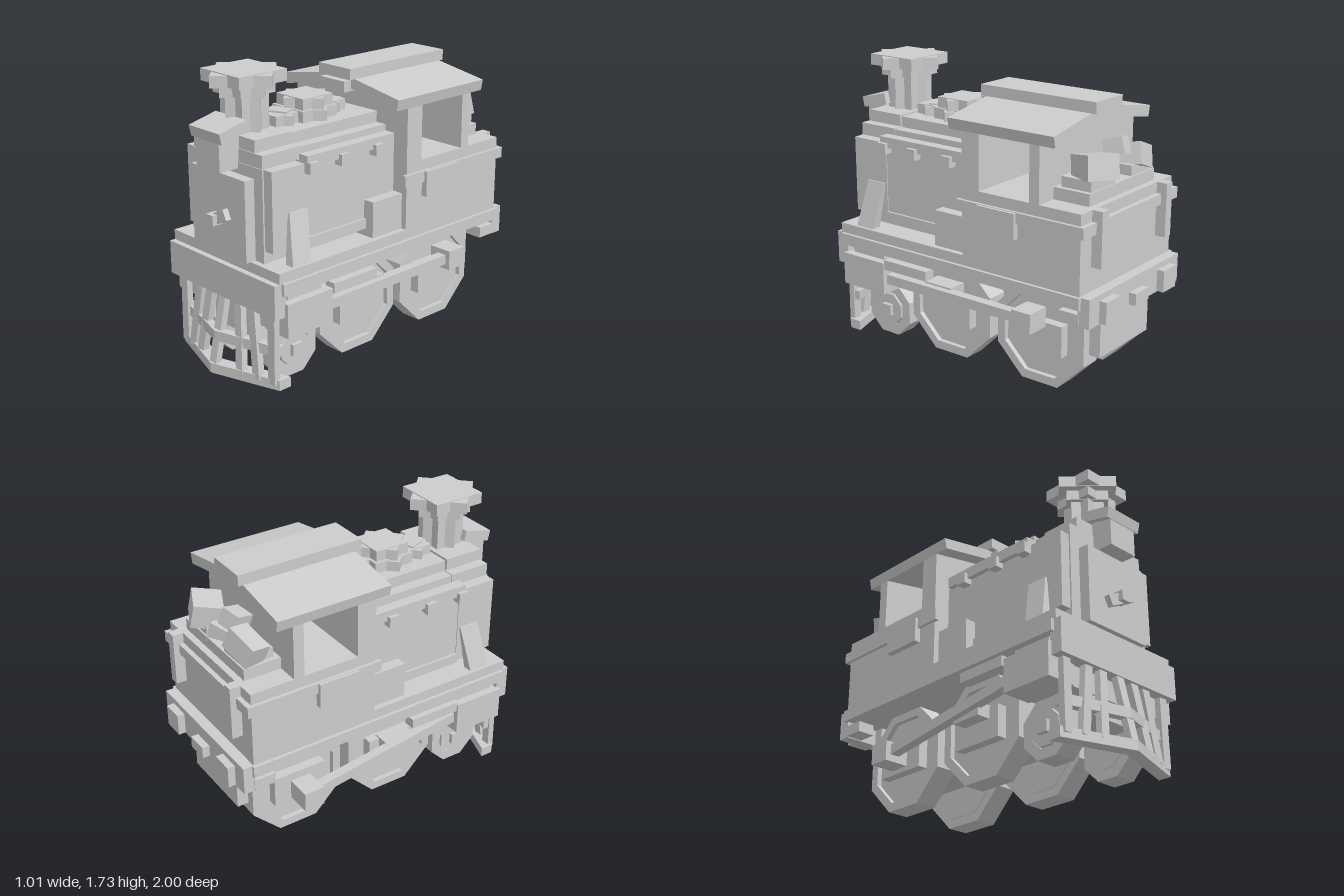
import * as THREE from 'three';

export function createModel() {
  const model = new THREE.Group();
  model.name = 'steamEngine';
  const grey = new THREE.MeshStandardMaterial({ color: 0xcccccc });
  grey.name = 'plain grey';

  const add = (name, geo) => {
    const m = new THREE.Mesh(geo, grey);
    m.name = name;
    model.add(m);
    return m;
  };
  // box from its low and high limits on each axis
  const box = (name, x0, x1, y0, y1, z0, z1) => {
    const m = add(name, new THREE.BoxGeometry(x1 - x0, y1 - y0, z1 - z0));
    m.position.set((x0 + x1) / 2, (y0 + y1) / 2, (z0 + z1) / 2);
    return m;
  };
  // box centred on x = 0
  const mid = (name, hw, ...r) => box(name, -hw, hw, ...r);
  // mirrored pair of boxes
  const pair = (name, x0, x1, ...r) => {
    box(name + 'Left', x0, x1, ...r);
    box(name + 'Right', -x1, -x0, ...r);
  };
  // two crossed square blocks making an eight-pointed star
  const star = (name, half, y0, y1, z) => {
    mid(name, half, y0, y1, z - half, z + half);
    mid(name + 'Crossed', half, y0 - 0.005, y1 - 0.005, z - half, z + half).rotation.y = Math.PI / 4;
  };
  const octagon = (Type, apothem) => {
    const r = apothem / Math.cos(Math.PI / 8), p = [];
    for (let i = 0; i < 8; i++) {
      const a = (i + 0.5) * Math.PI / 4;
      p.push(new THREE.Vector2(r * Math.cos(a), r * Math.sin(a)));
    }
    return new Type(p);
  };
  const extrude = (shape, depth) => new THREE.ExtrudeGeometry(shape, { depth, bevelEnabled: false });
  const poly = pts => new THREE.Shape(pts.map(p => new THREE.Vector2(...p)));

  // underframe, open between its top and the footplate
  mid('chassis', 0.17, 0.24, 0.5, -0.83, 0.82);
  mid('rearFramePlate', 0.25, 0.24, 0.6, -0.89, -0.82);
  mid('frontFrameBlock', 0.3, 0.35, 0.6, 0.53, 0.83);
  mid('footplate', 0.485, 0.6, 0.67, -0.9, 0.86);
  mid('runningBoard', 0.465, 0.67, 0.73, -0.09, 0.875);
  mid('frontBeam', 0.465, 0.47, 0.67, 0.83, 0.91);
  mid('rearBeam', 0.465, 0.5, 0.67, -0.955, -0.88);
  pair('rearStep', 0.36, 0.47, 0.505, 0.57, -0.89, -0.76);
  pair('rearBuffer', 0.232, 0.368, 0.505, 0.635, -1, -0.95);
  mid('rearCoupler', 0.068, 0.52, 0.59, -1, -0.95);

  // wheels
  const wheel = (name, side, z, y, rim, hole, hub, hubW, hubH, hubOut) => {
    const ring = octagon(THREE.Shape, rim);
    ring.holes.push(octagon(THREE.Path, hole));
    const part = (label, shape, x0, x1) => {
      const m = add(name + label, extrude(shape, x1 - x0));
      m.rotation.y = Math.PI / 2;
      m.position.set(side > 0 ? x0 : -x1, y, z);
    };
    part('Rim', ring, 0.17, 0.305);
    part('Disc', octagon(THREE.Shape, hole), 0.165, 0.275);
    if (hub) part('HubPlate', octagon(THREE.Shape, hub), 0.25, 0.315);
    box(name + 'Hub', side > 0 ? 0.25 : -hubOut, side > 0 ? hubOut : -0.25, y - hubH, y + hubH, z - hubW, z + hubW);
  };
  for (const s of [1, -1]) {
    for (const z of [0.14, -0.52]) wheel('driveWheel', s, z, 0.305, 0.3, 0.248, 0, 0.17, 0.095, 0.335);
    wheel('leadWheel', s, 0.64, 0.17, 0.165, 0.105, 0.1, 0.035, 0.035, 0.34);
  }

  // cylinders and rods; the right rod sits lower at the rear
  pair('cylinder', 0.3, 0.49, 0.35, 0.55, 0.51, 0.84);
  pair('slideBar', 0.42, 0.492, 0.515, 0.575, 0.17, 0.5);
  pair('cylinderHanger', 0.32, 0.44, 0.54, 0.61, 0.55, 0.8);
  box('rodLeft', 0.4, 0.46, 0.41, 0.47, -0.58, 0.51);
  box('rodEndLeft', 0.34, 0.49, 0.38, 0.5, -0.585, -0.455);
  box('crankPinLeft', 0.3, 0.42, 0.4, 0.48, 0.04, 0.24);
  box('rodRight', -0.46, -0.4, 0.34, 0.4, -0.55, 0.53).rotation.x = -0.14;
  box('rodEndRight', -0.495, -0.34, 0.235, 0.355, -0.585, -0.455);
  box('crankPinRight', -0.42, -0.3, 0.33, 0.41, 0.04, 0.24);

  // pilot, its bars splayed outward at the foot
  const vee = (name, w, y0, y1, zEnd, zTip, depth) => {
    const g = extrude(poly([[-w, -zEnd], [0, -zTip], [w, -zEnd], [w, -zEnd + depth], [0, -zTip + depth], [-w, -zEnd + depth]]), y1 - y0);
    const m = add(name, g);
    m.rotation.x = -Math.PI / 2;
    m.position.y = y0;
  };
  vee('pilotBase', 0.435, 0.025, 0.085, 0.86, 1, 0.08);
  vee('pilotRail', 0.41, 0.215, 0.275, 0.85, 0.965, 0.05);
  const bars = [[0, 0], [0.125, 0.18], [0.23, 0.29], [0.39, 0.39]];
  for (const [topX, footX] of bars) {
    for (const s of topX ? [1, -1] : [1]) {
      const foot = 0.97 - footX * 0.28, top = 0.88 - topX * 0.06;
      const bar = add('pilotBar', new THREE.BoxGeometry(0.056, 0.42, 0.04));
      bar.position.set(s * (topX + footX) / 2, 0.265, (foot + top) / 2);
      bar.rotation.set(-Math.atan2(foot - top, 0.42), 0, s * Math.atan2(footX - topX, 0.42));
    }
  }

  // stepped boiler
  mid('smokeboxCore', 0.3, 0.73, 1.26, 0.57, 0.84);
  mid('smokeboxShoulder', 0.295, 1.26, 1.335, 0.57, 0.835);
  mid('smokeboxTop', 0.23, 1.335, 1.405, 0.58, 0.83);
  mid('smokeboxSides', 0.365, 0.8, 1.26, 0.575, 0.83);
  mid('boilerBelly', 0.3, 0.73, 0.9, -0.1, 0.58);
  mid('boilerSides', 0.36, 0.835, 1.25, -0.1, 0.575);
  mid('boilerShoulder', 0.29, 1.25, 1.33, -0.1, 0.575);
  mid('boilerTop', 0.22, 1.33, 1.395, -0.1, 0.575);
  pair('boilerLedge', 0.29, 0.375, 0.775, 0.835, 0.14, 0.575);
  pair('handrail', 0.322, 0.39, 1.24, 1.305, -0.06, 0.6);
  for (const z of [0.57, 0.34, 0.075]) pair('handrailBracket', 0.285, 0.415, 1.205, 1.27, z - 0.032, z + 0.032);
  pair('sideTank', 0.29, 0.43, 0.73, 0.945, -0.1, 0.145);
  mid('smokeboxDoor', 0.23, 0.73, 1.195, 0.83, 0.905);
  mid('doorHandle', 0.105, 0.9, 0.965, 0.9, 0.94).rotation.z = 0.46;
  mid('doorKnob', 0.03, 0.905, 0.965, 0.9, 0.97);

  // leaning braces
  for (const s of [1, -1]) {
    const shape = poly([[0.36, 1.01], [0.385, 0.73], [0.445, 0.73], [0.375, 1.01]].map(([x, y]) => [s * x, y]));
    const g = extrude(shape, 0.13), p = g.attributes.position;
    for (let i = 0; i < p.count; i++) p.setZ(i, p.getZ(i) + (p.getY(i) > 0.9 ? 0.59 : 0.63));
    g.computeVertexNormals();
    add('brace', g);
  }

  // headlamp
  mid('lampBody', 0.1, 1.225, 1.42, 0.83, 0.965);
  mid('lampHood', 0.132, 1.405, 1.47, 0.79, 0.98).rotation.x = 0.23;

  // chimney and domes
  star('chimneyStem', 0.094, 1.33, 1.61, 0.705);
  star('chimneyCollar', 0.12, 1.605, 1.668, 0.705);
  star('chimneyCap', 0.165, 1.667, 1.735, 0.705);
  star('domeBase', 0.13, 1.36, 1.46, 0.27);
  star('domeTop', 0.112, 1.45, 1.525, 0.27);
  star('rearValve', 0.068, 1.36, 1.46, 0.085);
  star('frontValve', 0.092, 1.36, 1.455, 0.47);
  mid('bell', 0.068, 1.4, 1.465, 0.41, 0.51).rotation.y = 0.4;

  // cab and bunker
  mid('cabBody', 0.465, 0.67, 1.13, -0.89, -0.09);
  const gable = [[-0.465, 1.12], [0.465, 1.12], [0.465, 1.46], [0.13, 1.525], [-0.13, 1.525], [-0.465, 1.46]];
  add('cabFrontWall', extrude(poly(gable), 0.12)).position.z = -0.21;
  add('cabRearWall', extrude(poly(gable), 0.065)).position.z = -0.62;
  pair('waistRail', 0.46, 0.485, 1, 1.065, -0.92, -0.06);
  mid('rearRail', 0.485, 1, 1.065, -0.92, -0.88);
  pair('sidePlate', 0.46, 0.503, 0.91, 1.062, -0.48, -0.22);
  pair('rearPost', 0.3, 0.36, 0.81, 1.13, -0.955, -0.88);
  const roof = [[0.465, 1.455], [0.478, 1.52], [0.1, 1.585], [-0.1, 1.585], [-0.478, 1.52], [-0.465, 1.455], [-0.1, 1.52], [0.1, 1.52]];
  add('roof', extrude(poly(roof), 0.72)).position.z = -0.72;
  mid('roofCap', 0.13, 1.58, 1.645, -0.75, 0.04);
  mid('whistle', 0.1, 1.505, 1.57, -0.1, 0.058);

  // coal lumps: x, y, z, width, height, depth, tilts
  const coal = [
    [-0.24, 1.28, -0.78, 0.2, 0.13, 0.13, 0.2, 0.25, 0.3],
    [-0.08, 1.36, -0.75, 0.12, 0.1, 0.12, 0.3, 0.3, 0.1],
    [0.19, 1.31, -0.79, 0.2, 0.14, 0.17, 0.2, -0.4, 0.15],
    [0.05, 1.21, -0.75, 0.14, 0.12, 0.14, 0.1, 0.5, 0.2],
  ];
  for (const [x, y, z, w, h, d, a, b, c] of coal) {
    const lump = add('coalLump', new THREE.BoxGeometry(w, h, d));
    lump.position.set(x, y, z);
    lump.rotation.set(a, b, c);
  }
  mid('coalBed', 0.33, 1.12, 1.2, -0.85, -0.62);
  pair('coalBlock', 0.1, 0.3, 1.12, 1.26, -0.84, -0.65);
  return model;
}
